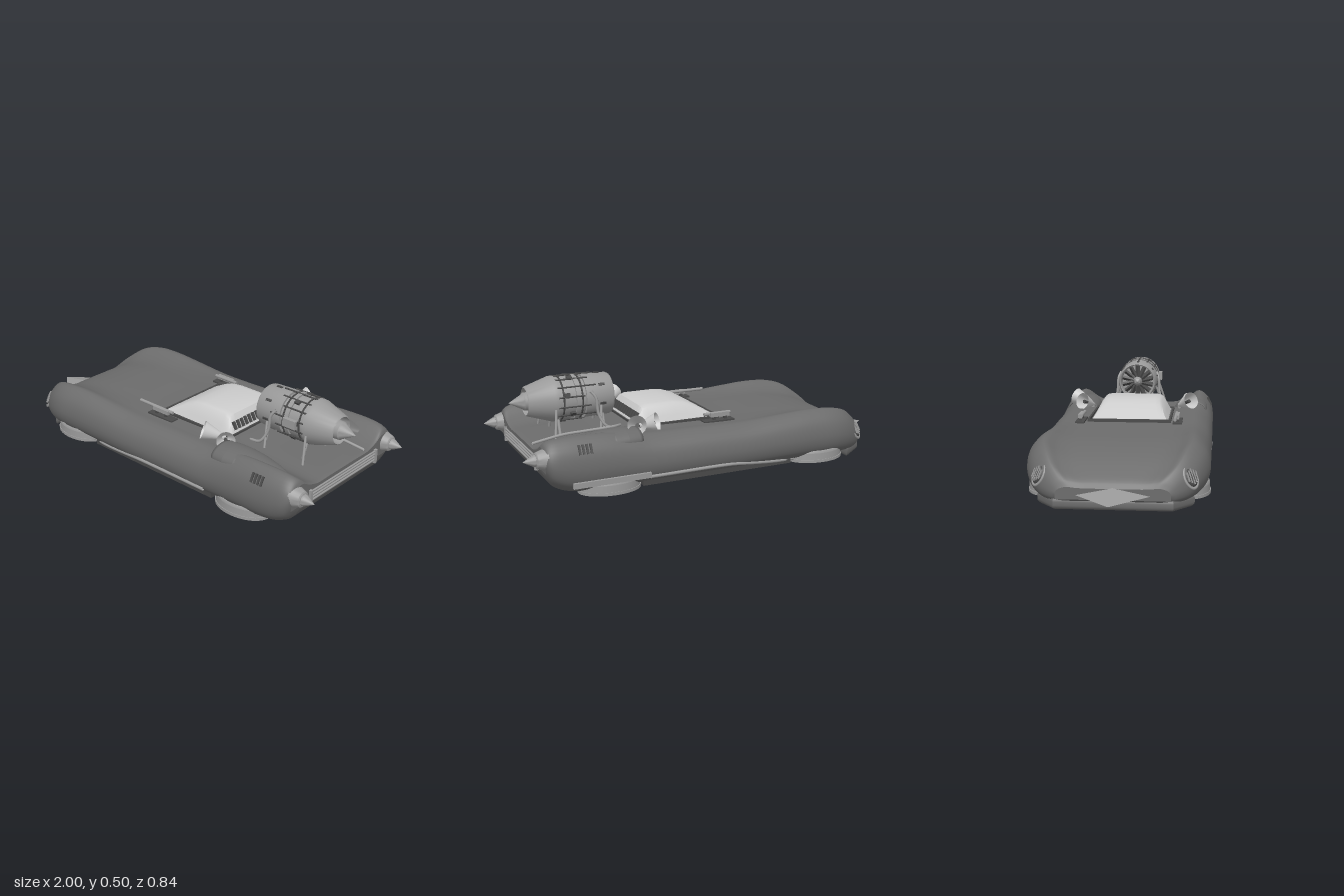
import * as THREE from 'three';
import { toCreasedNormals } from 'three/addons/utils/BufferGeometryUtils.js';

const V = (x, y, z) => new THREE.Vector3(x, y, z);
const mat = (color) => new THREE.MeshStandardMaterial({ color, side: THREE.DoubleSide });
const paint = mat(0x6c6c6c), grey = mat(0xcccccc), metal = mat(0x9a9a9a), dark = mat(0x4a4a4a);

export function createModel() {
  const root = new THREE.Group();
  const add = (name, geo, m, parent = root) => {
    const mesh = new THREE.Mesh(geo, m);
    mesh.name = name;
    parent.add(mesh);
    return mesh;
  };
  const box = (name, m, sx, sy, sz, x, y, z, parent) => {
    const b = add(name, new THREE.BoxGeometry(sx, sy, sz), m, parent);
    b.position.set(x, y, z);
    return b;
  };
  const tube = (name, m, pts, r, parent) => add(name,
    new THREE.TubeGeometry(new THREE.CatmullRomCurve3(pts.map((p) => V(...p))), 24, r, 8), m, parent);
  // surface of revolution about the x axis, from [x, radius] points
  const turned = (pts, seg = 40) => toCreasedNormals(
    new THREE.LatheGeometry(pts.map(([x, r]) => new THREE.Vector2(r, x)), seg).rotateZ(-Math.PI / 2), 0.6);
  // cone or cylinder running from a to b
  const rod = (name, m, a, b, ra, rb, seg = 16, open = false, parent = root) => {
    const d = b.clone().sub(a);
    const c = add(name, new THREE.CylinderGeometry(rb, ra, d.length(), seg, 1, open), m, parent);
    c.position.copy(a).addScaledVector(d, 0.5);
    c.quaternion.setFromUnitVectors(V(0, 1, 0), d.normalize());
  };
  // skin over a row of open sections
  const loft = (rows) => {
    const n = rows[0].length, idx = [];
    for (let i = 0; i < rows.length - 1; i++) for (let j = 0; j < n - 1; j++) {
      const a = i * n + j, b = a + n;
      idx.push(a, b, a + 1, b, b + 1, a + 1);
    }
    const g = new THREE.BufferGeometry().setFromPoints(rows.flat());
    g.setIndex(idx);
    g.computeVertexNormals();
    return g;
  };
  // the same curve smoothed through a list of points
  const smooth = (pts, n) => new THREE.CatmullRomCurve3(pts, false, 'centripetal').getPoints(n);

  // body stations: x, half width, fender top, centre top, bottom
  const stations = [
    [-0.812, 0.25, 0.105, 0.1, 0.05], [-0.795, 0.285, 0.14, 0.125, 0.035], [-0.745, 0.345, 0.195, 0.16, 0.03],
    [-0.67, 0.388, 0.247, 0.2, 0.03], [-0.58, 0.412, 0.27, 0.225, 0.035], [-0.45, 0.415, 0.276, 0.243, 0.035],
    [-0.3, 0.415, 0.267, 0.248, 0.035], [-0.1, 0.415, 0.253, 0.25, 0.035], [0.15, 0.415, 0.256, 0.256, 0.035],
    [0.4, 0.415, 0.262, 0.258, 0.035], [0.5, 0.415, 0.28, 0.25, 0.035], [0.6, 0.415, 0.294, 0.24, 0.035],
    [0.74, 0.415, 0.3, 0.232, 0.038], [0.82, 0.413, 0.298, 0.228, 0.055], [0.87, 0.407, 0.291, 0.224, 0.085],
    [0.895, 0.395, 0.278, 0.221, 0.125], [0.905, 0.382, 0.26, 0.217, 0.155]];
  const section = ([x, w, t, c, b]) => {
    const h = t - b;
    const half = [[0.8, b], [0.9, b + h * 0.08], [0.97, b + h * 0.22], [1, b + h * 0.48], [0.95, b + h * 0.8], [0.81, t],
      [0.66, c + (t - c) * 0.4], [0.5, c], [0.25, c]];
    const pts = half.map(([k, y]) => V(x, y, k * w));
    return smooth([...pts, V(x, c, 0), ...pts.map((p) => V(x, p.y, -p.z)).reverse()], 72);
  };
  const rows = stations.map(section);
  const lines = rows[0].map((_, j) => smooth(rows.map((r) => r[j]), 64));
  const skin = lines[0].map((_, i) => lines.map((l) => l[i]));
  add('bodyShell', loft(skin), paint);
  add('floorPan', loft(skin.map((r) => [r[72], r[0]])), paint);
  const cap = (name, r) => add(name, loft([r, r.map((p) => V(p.x, r[0].y, p.z))]), paint);
  cap('noseFace', skin[0]);
  cap('tailFace', skin[skin.length - 1]);

  // nose spike and rounded chin
  const spike = add('noseSpike', new THREE.ConeGeometry(0.5, 1, 4, 1).toNonIndexed().rotateZ(Math.PI / 2), metal);
  spike.geometry.computeVertexNormals();
  spike.scale.set(0.21, 0.075, 0.36);
  spike.position.set(-0.895, 0.07, 0);
  const chin = new THREE.Shape([[-0.785, -0.25], [-0.7, -0.32], [-0.7, 0.32], [-0.785, 0.25]].map((p) => new THREE.Vector2(...p)));
  add('chin', toCreasedNormals(new THREE.ExtrudeGeometry(chin, { depth: 0.015, bevelSize: 0.022, bevelThickness: 0.02, bevelSegments: 4 })
    .rotateX(Math.PI / 2).translate(0, 0.036, 0), 0.6), paint);

  // canopy: x, roof half width, height
  const canopyRows = [[-0.02, 0.19, 0.262], [0.03, 0.172, 0.292], [0.09, 0.158, 0.326], [0.135, 0.154, 0.341],
    [0.19, 0.153, 0.347], [0.33, 0.153, 0.347], [0.355, 0.154, 0.338], [0.375, 0.16, 0.31], [0.4, 0.185, 0.265]].map(([x, r, h]) => {
    const y = 0.24, d = h - y;
    const half = [[0.2, y], [0.1 + r / 2, y + d * 0.48], [r, y + d * 0.88], [r - 0.012, y + d * 0.96], [r - 0.035, h]];
    return [...half.map(([z, py]) => V(x, py, z)), V(x, h, 0), ...half.map(([z, py]) => V(x, py, -z)).reverse()];
  });
  add('canopy', toCreasedNormals(loft(canopyRows), 0.6), grey);
  for (const s of [1, -1]) box('canopySideFrame', dark, 0.43, 0.02, 0.01, 0.19, 0.257, s * 0.204);
  for (const x of [-0.022, 0.402]) box('canopyEndFrame', dark, 0.01, 0.022, 0.41, x, 0.256, 0);
  for (let i = 0; i < 12; i++) box('canopyLouvre', dark, 0.04, 0.012, 0.014, 0.386, 0.297, -0.15 + i * 0.027).rotation.z = -1.1;

  // jet engine on the rear deck
  const jet = new THREE.Group();
  jet.name = 'jetEngine';
  jet.position.y = 0.39;
  root.add(jet);
  add('jetCasing', turned([[0.53, 0.03], [0.53, 0.085], [0.475, 0.09], [0.47, 0.095], [0.48, 0.1], [0.61, 0.105],
    [0.61, 0.094], [0.64, 0.094], [0.64, 0.108], [0.66, 0.108], [0.66, 0.1], [0.74, 0.1], [0.74, 0.108], [0.76, 0.107],
    [0.875, 0.07], [0.88, 0.064], [0.82, 0.058], [0.82, 0.02]]), metal, jet);
  add('jetTailCone', turned([[0.82, 0.045], [0.885, 0.042], [0.892, 0.036], [0.955, 0.001]], 24), metal, jet);
  add('intakeSpinner', turned([[0.475, 0.001], [0.485, 0.015], [0.53, 0.03]], 20), metal, jet);
  for (let i = 0; i < 14; i++) {
    const arm = new THREE.Group();
    arm.rotation.x = (i / 14) * Math.PI * 2;
    arm.name = 'jetSector';
    jet.add(arm);
    box('fanBlade', dark, 0.025, 0.06, 0.012, 0.505, 0.055, 0, arm).rotation.y = 0.6;
    rod('fuelPipe', dark, V(0.56 + (i % 3) * 0.03, 0.107, 0), V(0.745, 0.107, 0), 0.004, 0.004, 6, false, arm);
    if (i % 2) box('pipeClamp', dark, 0.025, 0.012, 0.02, 0.66 + (i % 4) * 0.015, 0.107, 0.01, arm);
    else box('casingSlot', dark, 0.03, 0.006, 0.012, 0.53, 0.103, 0, arm);
  }
  for (const x of [0.63, 0.72]) {
    add('jetBand', new THREE.TorusGeometry(0.103, 0.004, 6, 40).rotateY(Math.PI / 2), dark, jet).position.x = x;
  }
  // single deck pipe and the valve box on the casing
  tube('deckPipe', metal, [[0.46, 0.26, -0.13], [0.5, 0.265, -0.16], [0.64, 0.26, -0.158], [0.75, 0.255, -0.155], [0.9, 0.235, -0.165]], 0.007);
  box('valveBox', metal, 0.07, 0.04, 0.02, 0.68, 0.4, 0.115);

  for (const s of [1, -1]) {
    const side = new THREE.Group();
    side.name = s > 0 ? 'leftSide' : 'rightSide';
    root.add(side);

    // engine struts and feed pipes
    for (const x of [0.52, 0.74]) {
      rod('engineStrut', metal, V(x, 0.23, s * 0.085), V(x, 0.33, s * 0.05), 0.007, 0.007, 8, false, side);
      rod('outerStrut', metal, V(x + 0.04, 0.235, s * 0.14), V(x + 0.02, 0.36, s * 0.1), 0.006, 0.006, 8, false, side);
    }
    tube('feedPipe', metal, [[0.47, 0.25, s * 0.13], [0.53, 0.265, s * 0.135], [0.56, 0.32, s * 0.118], [0.57, 0.4, s * 0.112], [0.59, 0.43, s * 0.1]], 0.007, side);

    // rear fender scoop, fading into the fender
    const scoop = add('fenderScoop', turned([[0.51, 0.001], [0.51, 0.8], [0.45, 0.82], [0.44, 0.87], [0.455, 0.92],
      [0.51, 0.98], [0.57, 0.98], [0.65, 0.88], [0.74, 0.65], [0.8, 0.4]]).scale(1, 0.054, 0.09), paint, side);
    scoop.position.set(0, 0.243, s * 0.296);
    rod('scoopCone', metal, V(0.44, 0.243, s * 0.296), V(0.52, 0.243, s * 0.296), 0.004, 0.035, 16, false, side);

    // tail lamps with spikes
    const lamp = add('tailLamp', turned([[0.86, 0.056], [0.89, 0.054], [0.9, 0.048], [0.935, 0.037], [0.94, 0.03],
      [0.94, 0.027], [0.95, 0.025], [0.995, 0.001]], 28), metal, side);
    lamp.position.set(0, 0.21, s * 0.34);

    // oval headlamp with grille bars
    const head = new THREE.Group();
    head.name = 'headlamp';
    head.position.set(-0.738, 0.142, s * 0.33);
    head.rotation.set(0, s * 0.85, -0.45);
    side.add(head);
    add('headlampBowl', turned([[-0.014, 0.001], [-0.01, 0.03], [0, 0.04], [0.03, 0.044]], 24).scale(1, 1.25, 0.95), dark, head);
    add('headlampRim', new THREE.TorusGeometry(0.04, 0.006, 8, 28).rotateY(Math.PI / 2).scale(1, 1.25, 0.95), metal, head);
    for (let i = -2; i <= 2; i++) box('headlampBar', metal, 0.006, 0.07 - Math.abs(i) * 0.014, 0.005, -0.012, 0, i * 0.013, head);

    // flanged hover rings, hollow below
    for (const x of [-0.505, 0.59]) {
      const ring = add('hoverRing', turned([[0.08, 0.88], [0.077, 0.94], [0.068, 0.96], [0.036, 0.97], [0.036, 1], [0.022, 1], [0.02, 0.9],
        [0.03, 0.84], [0.05, 0.74], [0.05, 0.45], [0.035, 0.35], [0.035, 0.001]], 48).rotateZ(Math.PI / 2).scale(0.15, 1, 0.1), metal, side);
      ring.position.set(x, 0, s * 0.316);
    }

    // sill rail, exhaust pipe and rear trim
    box('sill', dark, 0.78, 0.03, 0.03, 0.055, 0.045, s * 0.36, side);
    tube('sidePipe', metal, [[-0.36, 0.045, s * 0.36], [-0.25, 0.052, s * 0.378], [-0.1, 0.068, s * 0.394], [0, 0.08, s * 0.404], [0.42, 0.08, s * 0.404]], 0.008, side);
    if (s < 0) box('rearTrim', metal, 0.37, 0.025, 0.014, 0.61, 0.095, -0.42, side);

    // fender vents
    for (let i = 0; i < 4; i++) {
      box('fenderVent', dark, 0.01, 0.045, 0.03, 0.7 + i * 0.018, 0.245, s * 0.385, side).rotation.x = -s * 0.45;
    }

    // side-mounted gun
    const gx = s > 0 ? 0 : -0.01;
    box('gunPlate', dark, 0.16, 0.008, 0.045, gx + 0.01, 0.256, s * 0.243, side);
    box('gunBody', metal, 0.1, 0.02, 0.018, gx, 0.284, s * 0.243, side);
    for (const x of [-0.03, 0.03]) box('gunPost', dark, 0.014, 0.03, 0.014, gx + x, 0.268, s * 0.243, side);
    rod('gunBarrel', metal, V(s > 0 ? -0.15 : -0.07, 0.288, s * 0.235), V(0.07, 0.288, s * 0.235), 0.008, 0.008, 10, false, side);

    // paired horns
    const apex = V(0.405, 0.275, s * 0.235);
    const mouths = s > 0 ? [V(0.325, 0.313, 0.3), V(0.452, 0.292, 0.285)] : [V(0.335, 0.3, -0.285), V(0.457, 0.31, -0.335)];
    for (const m of mouths) {
      rod('hornBell', grey, apex, m, 0.01, 0.044, 24, true, side);
      rod('hornCore', dark, apex, m.clone().lerp(apex, 0.15), 0.004, 0.01, 10, false, side);
    }
    rod('hornPost', metal, V(0.405, 0.24, s * 0.235), apex, 0.01, 0.01, 10, false, side);

    // tail grille end plate
    box('grilleEnd', metal, 0.02, 0.07, 0.014, 0.908, 0.172, s * 0.25, side);
  }

  // tail grille bars
  for (let i = 0; i < 4; i++) rod('grilleBar', metal, V(0.91, 0.153 + i * 0.015, -0.25), V(0.91, 0.153 + i * 0.015, 0.25), 0.005, 0.005, 8);
  return root;
}
